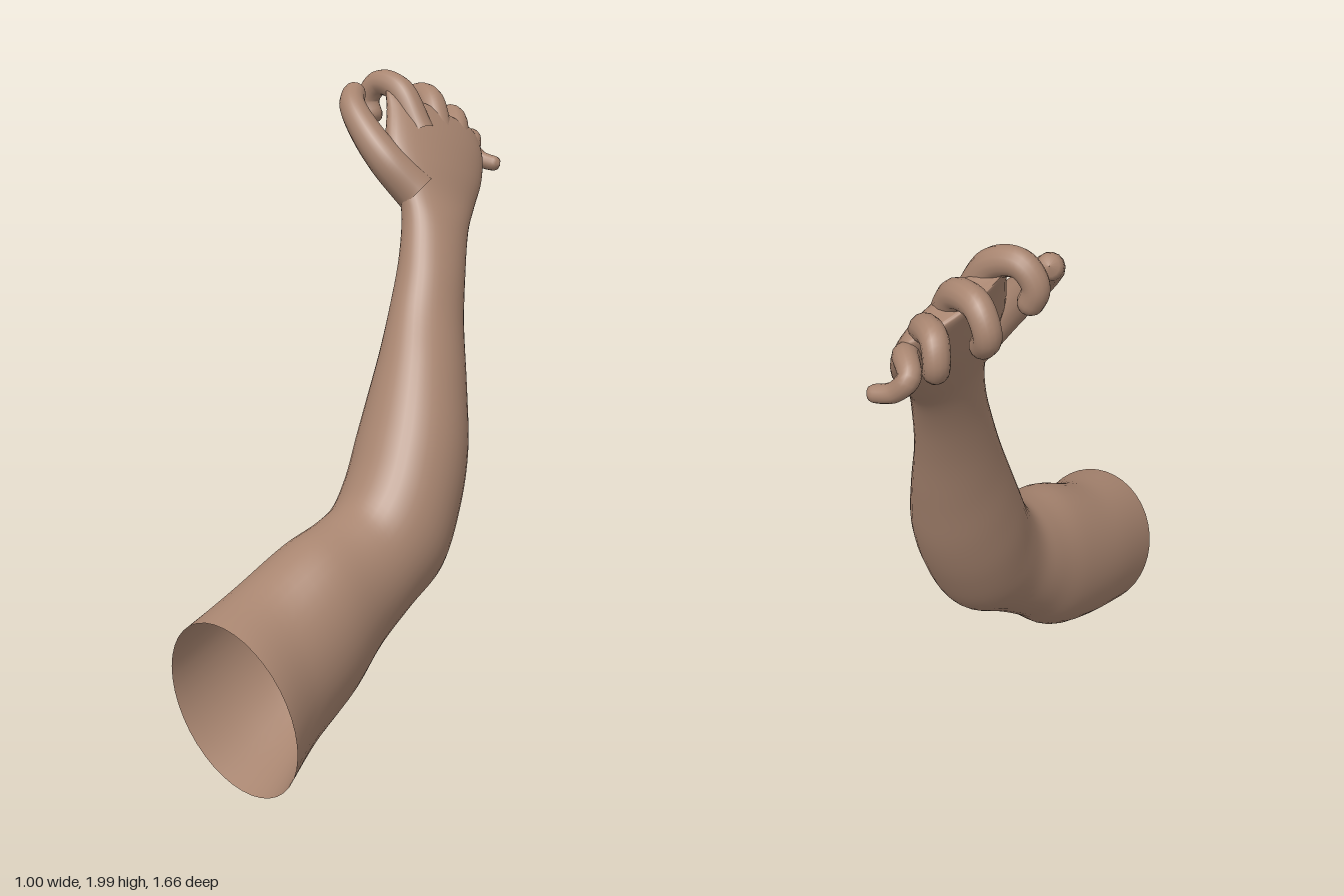
import * as THREE from 'three';
import { mergeVertices } from 'three/addons/utils/BufferGeometryUtils.js';

const V = (x, y, z) => new THREE.Vector3(x, y, z);

// Cross-sections from the open sleeve end to the knuckles:
// [inner edge y, z, outer edge y, z, centre x, half width in x, x skew towards the outer edge]
const SECTIONS = [
  [0.54, 0.81, 0.01, 0.72, 0.265, 0.235, 0.02],
  [0.59, 0.62, 0.08, 0.53, 0.205, 0.215, 0.02],
  [0.68, 0.42, 0.17, 0.33, 0.175, 0.205, 0],
  [0.715, 0.28, 0.28, 0.20, 0.158, 0.188, 0],
  [0.75, 0.20, 0.375, 0.06, 0.15, 0.183, 0],
  [0.83, 0.13, 0.47, -0.09, 0.135, 0.195, 0],
  [0.94, 0.06, 0.63, -0.20, 0.105, 0.195, 0],
  [1.04, 0.00, 0.80, -0.28, 0.075, 0.18, 0],
  [1.17, -0.08, 1.00, -0.34, 0.03, 0.148, 0],
  [1.30, -0.16, 1.21, -0.40, -0.025, 0.115, 0],
  [1.43, -0.23, 1.37, -0.46, -0.07, 0.1, 0],
  [1.57, -0.29, 1.48, -0.52, -0.12, 0.09, 0.01],
  [1.65, -0.30, 1.55, -0.59, -0.16, 0.085, 0.015],
  [1.76, -0.30, 1.63, -0.67, -0.205, 0.085, 0.02],
  [1.88, -0.36, 1.72, -0.72, -0.26, 0.072, 0.03],
  [1.94, -0.40, 1.79, -0.72, -0.305, 0.05, 0.035],
  [1.92, -0.44, 1.82, -0.68, -0.33, 0.015, 0.03],
];

// Smooth skin lofted through the sections; the shoulder end stays open
function armGeometry(rows = 80, cols = 40) {
  const pos = [], index = [];
  for (let j = 0; j < cols; j++) {
    const a = (j / cols) * Math.PI * 2, c = Math.cos(a), s = Math.sin(a);
    const line = new THREE.CatmullRomCurve3(SECTIONS.map(([yA, zA, yB, zB, x, r, skew], k) => V(
      x + r * s - skew * c,
      (yA + yB) / 2 + (yA - yB) / 2 * c,
      (zA + zB) / 2 + (zA - zB) / 2 * c - (k === 0 ? 0.03 * s : 0))));
    for (let i = 0; i <= rows; i++) pos.push(...line.getPoint(i / rows).toArray());
  }
  const at = (i, j) => (j % cols) * (rows + 1) + i;
  for (let j = 0; j < cols; j++) {
    for (let i = 0; i < rows; i++) {
      index.push(at(i, j), at(i, j + 1), at(i + 1, j));
      index.push(at(i, j + 1), at(i + 1, j + 1), at(i + 1, j));
    }
  }
  // Close the knuckle end
  for (let j = 1; j < cols - 1; j++) index.push(at(rows, 0), at(rows, j), at(rows, j + 1));
  const geo = new THREE.BufferGeometry();
  geo.setAttribute('position', new THREE.Float32BufferAttribute(pos, 3));
  geo.setIndex(index);
  geo.computeVertexNormals();
  return geo;
}

// Tapered tube with a rounded tip
function fingerGeometry(points, r0, r1) {
  const path = new THREE.CatmullRomCurve3(points.map((p) => V(...p)));
  const rows = 40, cols = 14, length = path.getLength();
  const geo = new THREE.TubeGeometry(path, rows, 1, cols, false);
  const p = geo.attributes.position, v = V();
  for (let i = 0; i <= rows; i++) {
    const t = i / rows, centre = path.getPointAt(t);
    const left = Math.min(1, ((1 - t) * length) / r1);
    const r = THREE.MathUtils.lerp(r0, r1, t) * Math.max(0.02, Math.sqrt(1 - (1 - left) ** 2));
    for (let j = 0; j <= cols; j++) {
      const k = i * (cols + 1) + j;
      v.fromBufferAttribute(p, k).sub(centre).multiplyScalar(r).add(centre);
      p.setXYZ(k, v.x, v.y, v.z);
    }
  }
  geo.deleteAttribute('uv');
  geo.deleteAttribute('normal');
  const merged = mergeVertices(geo, 1e-5);
  merged.computeVertexNormals();
  return merged;
}

// Curled fingers: name, path, base radius, tip radius
const FINGERS = [
  ['thumb', [[-0.16, 1.62, -0.36], [-0.23, 1.72, -0.295], [-0.31, 1.81, -0.275],
    [-0.39, 1.89, -0.29], [-0.45, 1.94, -0.36]], 0.07, 0.036],
  ['indexFinger', [[-0.23, 1.8, -0.44], [-0.32, 1.935, -0.435], [-0.41, 1.955, -0.425],
    [-0.452, 1.9, -0.415], [-0.42, 1.82, -0.42]], 0.05, 0.036],
  ['middleFinger', [[-0.23, 1.77, -0.53], [-0.32, 1.895, -0.575], [-0.42, 1.9, -0.605],
    [-0.457, 1.83, -0.61], [-0.4, 1.765, -0.58]], 0.05, 0.036],
  ['ringFinger', [[-0.21, 1.71, -0.58], [-0.29, 1.82, -0.665], [-0.37, 1.83, -0.715],
    [-0.39, 1.765, -0.73], [-0.34, 1.72, -0.69]], 0.048, 0.033],
  ['littleFinger', [[-0.2, 1.67, -0.62], [-0.28, 1.76, -0.73], [-0.335, 1.735, -0.775],
    [-0.3, 1.69, -0.795], [-0.225, 1.67, -0.82]], 0.045, 0.024],
];

export function createModel() {
  const skin = new THREE.MeshStandardMaterial({ color: 0xa88570, side: THREE.DoubleSide });
  skin.name = 'skin';
  const group = new THREE.Group();
  group.name = 'bentArm';
  const add = (name, geo) => {
    const mesh = new THREE.Mesh(geo, skin);
    mesh.name = name;
    group.add(mesh);
  };
  add('armAndPalm', armGeometry());
  for (const [name, points, r0, r1] of FINGERS) add(name, fingerGeometry(points, r0, r1));
  return group;
}
